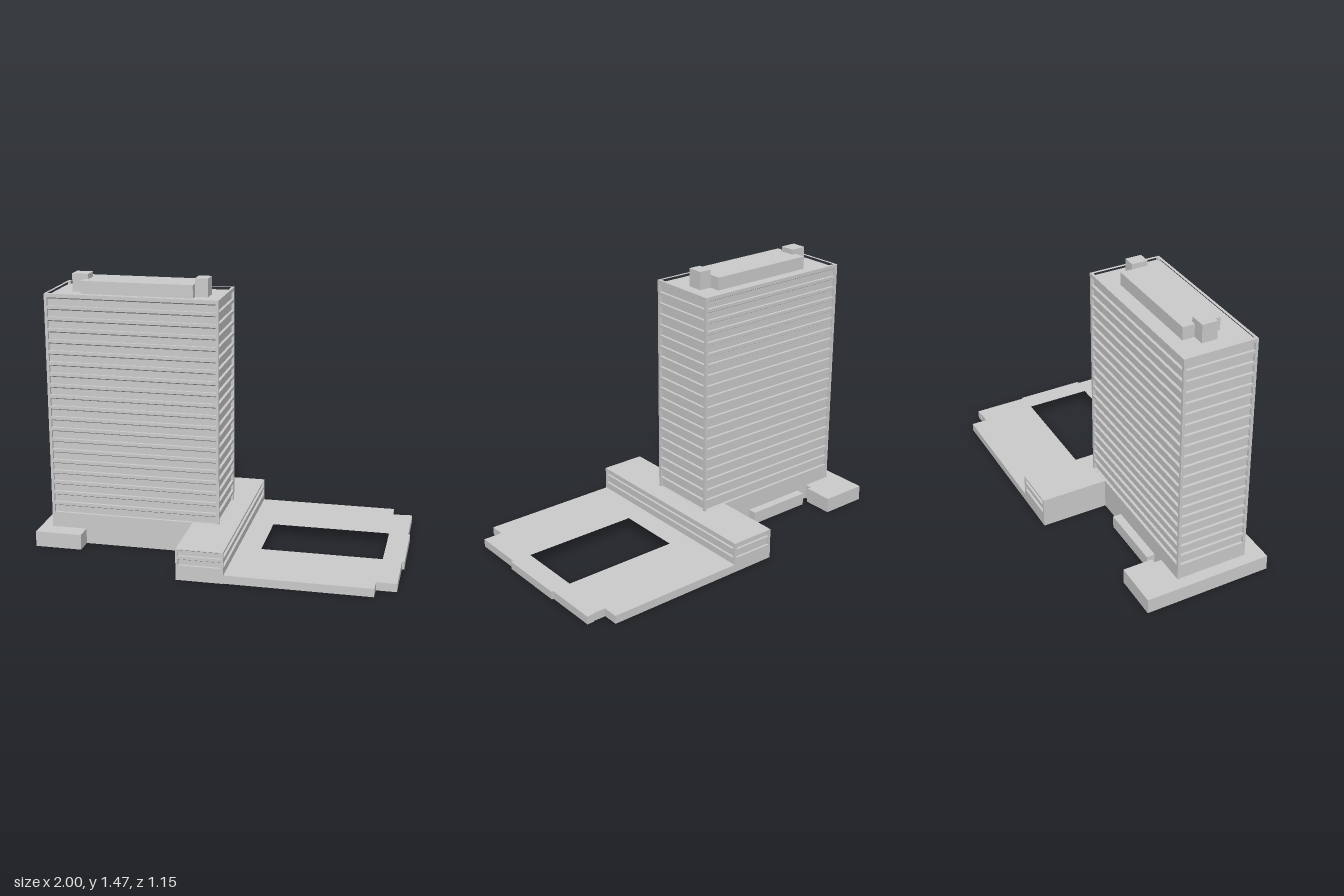
import * as THREE from 'three';

const material = new THREE.MeshStandardMaterial({ color: 0xcccccc, flatShading: true });

function addMesh(parent, name, geometry) {
  const mesh = new THREE.Mesh(geometry, material);
  mesh.name = name;
  parent.add(mesh);
  return mesh;
}

// Box given by its limits on each axis
function addBox(parent, name, [x0, x1], [y0, y1], [z0, z1]) {
  const mesh = addMesh(parent, name, new THREE.BoxGeometry(x1 - x0, y1 - y0, z1 - z0));
  mesh.position.set((x0 + x1) / 2, (y0 + y1) / 2, (z0 + z1) / 2);
  return mesh;
}

// Flat plate from a plan outline of [x, z] points, with optional holes
function addPlate(parent, name, outline, [y0, y1], holes = []) {
  const toPoints = (list) => list.map(([x, z]) => new THREE.Vector2(x, -z));
  const shape = new THREE.Shape(toPoints(outline));
  holes.forEach((hole) => shape.holes.push(new THREE.Path(toPoints(hole))));
  const geometry = new THREE.ExtrudeGeometry(shape, { depth: y1 - y0, bevelEnabled: false });
  geometry.rotateX(-Math.PI / 2);
  const mesh = addMesh(parent, name, geometry);
  mesh.position.y = y0;
  return mesh;
}

const rect = ([x0, x1], [z0, z1]) => [[x0, z0], [x1, z0], [x1, z1], [x0, z1]];
const shrink = ([a, b], d) => [a + d, b - d];

// Sloping underside between a slab edge and the recessed window wall
function addSoffit(parent, x, z, top, drop, inset) {
  const mesh = addBox(parent, 'soffit', x, [top - drop, top], z);
  const p = mesh.geometry.attributes.position;
  for (let i = 0; i < p.count; i++) {
    if (p.getY(i) < 0) {
      p.setX(i, p.getX(i) - Math.sign(p.getX(i)) * inset);
      p.setZ(i, p.getZ(i) - Math.sign(p.getZ(i)) * inset);
    }
  }
  mesh.geometry.computeVertexNormals();
}

// Block with window bands cut into its walls; bandTops runs from the top down
function addBandedBlock(parent, name, { x, z, coreTop, top, bandTops, bandHeight, inset, drop }) {
  const block = new THREE.Group();
  block.name = name;
  parent.add(block);
  addBox(block, 'windowWall', shrink(x, inset), [0, coreTop], shrink(z, inset));
  for (const px of [[x[0], x[0] + inset], [x[1] - inset, x[1]]]) {
    for (const pz of [[z[0], z[0] + inset], [z[1] - inset, z[1]]]) {
      addBox(block, 'cornerPost', px, [0, top], pz);
    }
  }
  // top edge, standing above the roof as a parapet where coreTop is lower
  addPlate(block, 'roofEdge', rect(x, z), [bandTops[0], top],
    [rect(shrink(x, inset), shrink(z, inset))]);
  bandTops.forEach((bandTop, i) => {
    addSoffit(block, x, z, bandTop, drop, inset);
    const next = i + 1 < bandTops.length ? bandTops[i + 1] : 0;
    addBox(block, next ? 'floorBand' : 'baseWall', x, [next, bandTop - bandHeight], z);
  });
  return block;
}

export function createModel() {
  const model = new THREE.Group();
  model.name = 'officeComplex';

  // Tower with twenty window bands
  addBandedBlock(model, 'tower', {
    x: [-0.935, 0.005], z: [-0.203, 0.197], coreTop: 1.375, top: 1.39,
    bandTops: Array.from({ length: 20 }, (_, i) => 1.37 - i * 0.0608),
    bandHeight: 0.044, inset: 0.015, drop: 0.008,
  });

  // Rooftop plant room and stair heads
  addBox(model, 'plantRoom', [-0.765, -0.155], [1.36, 1.445], [-0.112, 0.092]);
  addBox(model, 'stairHead', [-0.83, -0.74], [1.36, 1.473], [-0.047, 0.037]);
  addBox(model, 'stairHead', [-0.155, -0.085], [1.36, 1.473], [-0.047, 0.042]);

  // Cross hall with two window bands on three sides and a plain inner side
  const hall = addBandedBlock(model, 'hall', {
    x: [-0.14, 0.11], z: [-0.575, 0.572], coreTop: 0.17, top: 0.17,
    bandTops: [0.167, 0.116], bandHeight: 0.034, inset: 0.013, drop: 0.007,
  });
  addBox(hall, 'plainWall', [-0.14, -0.127], [0, 0.17], [-0.575, 0.572]);

  // Low podium with a courtyard opening and stepped outer end
  addPlate(model, 'podium', [
    [0.1, -0.575], [0.88, -0.575], [0.88, -0.488], [0.95, -0.488], [0.95, -0.493],
    [0.99, -0.493], [0.99, -0.195], [1, -0.195], [1, 0.19], [0.987, 0.19],
    [0.987, 0.483], [0.88, 0.483], [0.88, 0.568], [0.1, 0.568],
  ], [0, 0.045], [rect([0.235, 0.885], [-0.187, 0.182])]);

  // Low side wing with a small notch, and the annex behind the tower
  addPlate(model, 'sideWing', [
    [-1, -0.41], [-0.742, -0.41], [-0.742, -0.243], [-0.768, -0.243],
    [-0.768, -0.19], [-0.742, -0.19], [-0.742, 0.295], [-1, 0.295],
  ], [0, 0.085]);
  addBox(model, 'rearAnnex', [-0.7, -0.325], [0, 0.07], [-0.25, -0.19]);

  return model;
}
